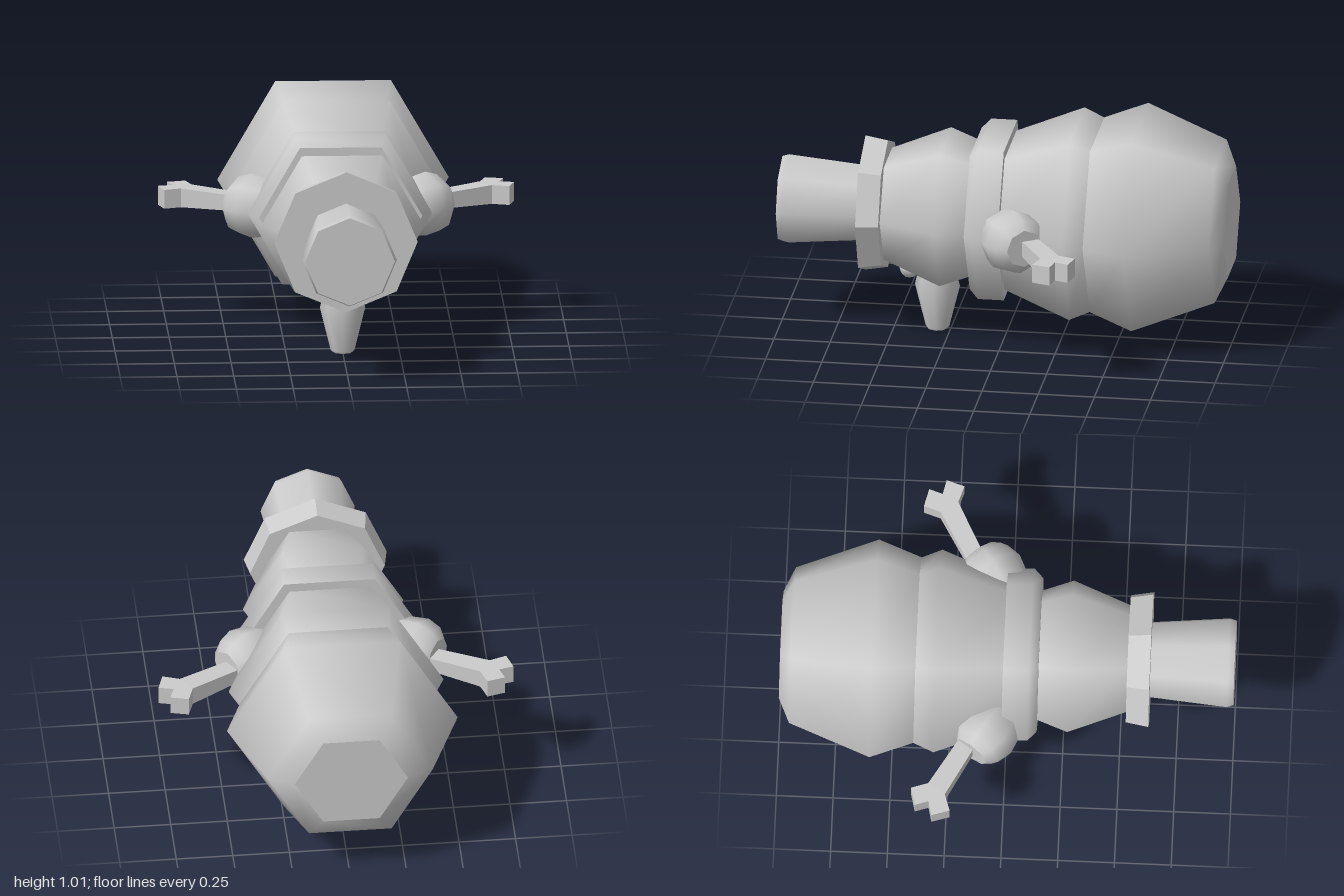
import * as THREE from 'three';

const material = new THREE.MeshStandardMaterial({ color: 0xcccccc });
const flatMaterial = new THREE.MeshStandardMaterial({ color: 0xcccccc, flatShading: true });
const AXIS_Y = 0.57;

function mesh(geometry, name, mat = material) {
  const m = new THREE.Mesh(geometry, mat);
  m.name = name;
  return m;
}

// Closed solid turned about z; profile is [radius, z] with z ascending.
function turned(name, profile, sides, mat = material) {
  const group = new THREE.Group();
  group.name = name;
  const points = profile.map(([r, z]) => new THREE.Vector2(r, z));
  const shell = new THREE.LatheGeometry(points, sides, Math.PI / 2).rotateX(Math.PI / 2);
  group.add(mesh(shell, name + 'Shell', mat));
  const [backR, backZ] = profile[0];
  const [frontR, frontZ] = profile[profile.length - 1];
  group.add(mesh(new THREE.CircleGeometry(backR, sides).rotateY(Math.PI).translate(0, 0, backZ), name + 'BackCap'));
  group.add(mesh(new THREE.CircleGeometry(frontR, sides).translate(0, 0, frontZ), name + 'FrontCap'));
  return group;
}

function bump(name, radius, x, y, z) {
  const b = mesh(new THREE.SphereGeometry(radius, 8, 6), name);
  b.position.set(x, y, z);
  return b;
}

function createArm(name) {
  const arm = new THREE.Group();
  arm.name = name;

  // Rounded shoulder, aimed outward and back
  const shoulder = turned('shoulder', [[0.09, -0.14], [0.13, -0.07], [0.145, 0.015], [0.125, 0.08], [0.085, 0.115]], 8);
  shoulder.position.set(0.37, AXIS_Y, -0.08);
  shoulder.rotation.y = Math.atan2(0.82, -0.57);
  arm.add(shoulder);

  // Forked twig, drawn from above as [x, z]
  const outline = [
    [0.40, -0.10], [0.685, -0.25], [0.76, -0.225], [0.785, -0.305], [0.72, -0.32],
    [0.74, -0.38], [0.66, -0.40], [0.635, -0.325], [0.37, -0.17],
  ];
  const shape = new THREE.Shape(outline.map(([x, z]) => new THREE.Vector2(x, -z)));
  const twig = new THREE.ExtrudeGeometry(shape, { depth: 0.085, bevelEnabled: false });
  twig.rotateX(-Math.PI / 2).translate(0, AXIS_Y - 0.0425, 0);
  // Slimmer towards the shoulder
  const pos = twig.attributes.position;
  for (let i = 0; i < pos.count; i++) {
    if (pos.getX(i) < 0.5) pos.setY(i, AXIS_Y + (pos.getY(i) - AXIS_Y) * 0.75);
  }
  arm.add(mesh(twig, 'twig', flatMaterial));
  return arm;
}

export function createModel() {
  const model = new THREE.Group();
  model.name = 'lyingSnowman';

  // Six-sided body, scarf and head, then the eight-sided hat
  const trunk = new THREE.Group();
  trunk.name = 'trunk';
  trunk.position.y = AXIS_Y;
  trunk.add(
    turned('lowerBody', [[0.25, -1], [0.365, -0.95], [0.51, -0.59], [0.435, -0.4]], 6),
    turned('middleBody', [[0.43, -0.41], [0.475, -0.31], [0.345, 0.01]], 6),
    turned('scarf', [[0.403, -0.015], [0.403, 0.1], [0.36, 0.14]], 6),
    turned('head', [[0.3, 0.13], [0.355, 0.275], [0.25, 0.53]], 6),
    turned('hatBrim', [[0.298, 0.53], [0.316, 0.63]], 8, flatMaterial),
    turned('hatCrown', [[0.175, 0.62], [0.208, 0.97], [0.198, 1]], 8),
  );
  model.add(trunk);

  // Nose points down
  const nose = turned('nose', [[0.065, -0.36], [0.1, -0.2], [0.053, -0.01], [0.045, 0]], 8);
  nose.rotation.x = Math.PI / 2;
  nose.position.z = 0.31;
  model.add(nose);

  // Eyes and button on the underside
  model.add(bump('leftEye', 0.047, 0.09, 0.312, 0.42));
  model.add(bump('rightEye', 0.047, -0.09, 0.312, 0.42));
  model.add(bump('button', 0.06, 0, 0.225, -0.14));

  // Arms
  const rightArm = createArm('rightArm');
  rightArm.scale.x = -1;
  model.add(createArm('leftArm'), rightArm);

  return model;
}
